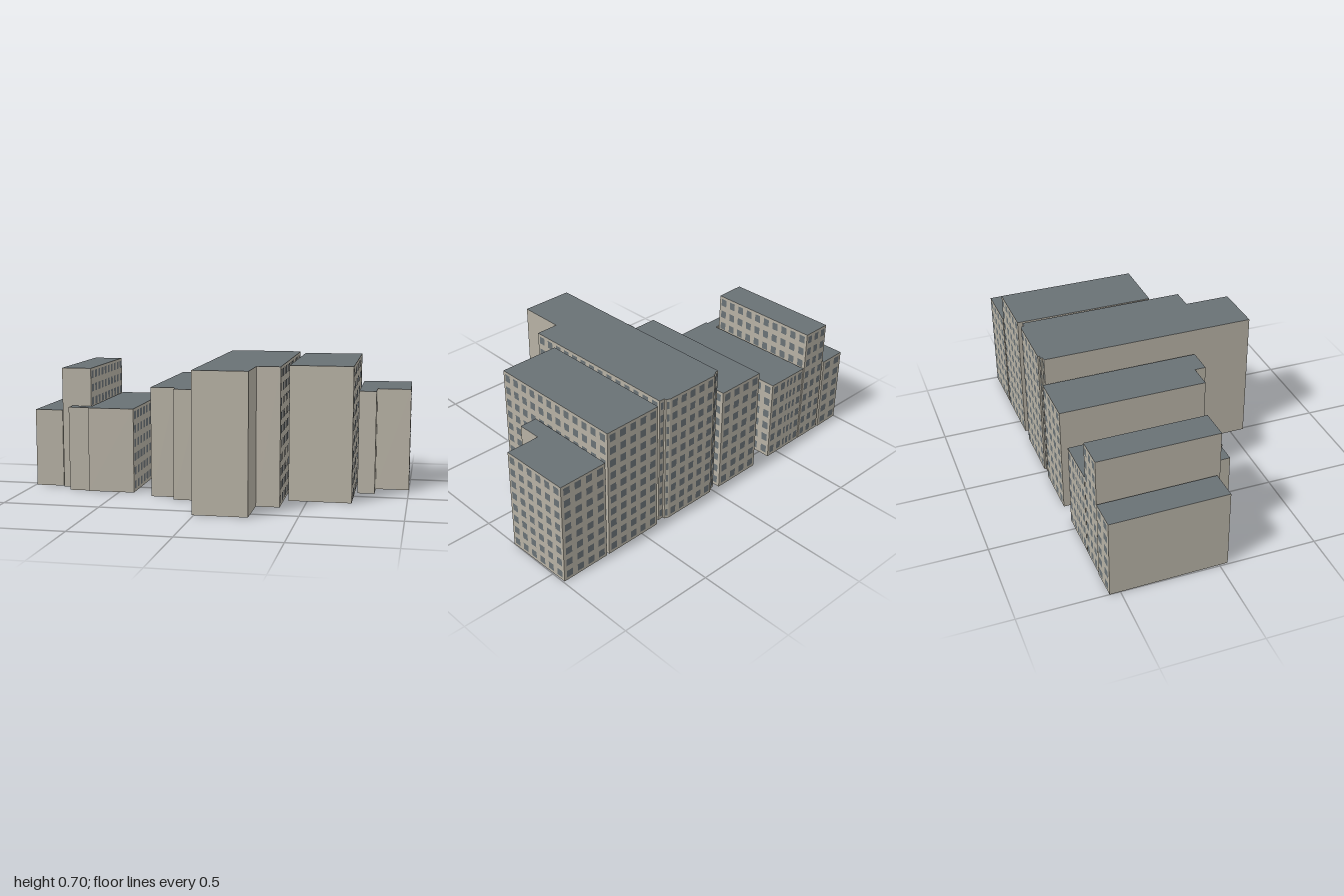
import * as THREE from 'three';
import { mergeGeometries } from 'three/addons/utils/BufferGeometryUtils.js';

const wall = new THREE.MeshStandardMaterial({ color: 0xb6b1a4, side: THREE.DoubleSide });
wall.name = 'tan wall';
const slate = new THREE.MeshStandardMaterial({ color: 0x697175, side: THREE.DoubleSide });
slate.name = 'slate roof and glass';

// Footprints as [x, z] corners, starting at the back left and going round by
// the back right. The first `glazed` edges (back and right walls) get windows.
const BUILDINGS = [
  { name: 'lowEndBlock', height: 0.415, floors: 6, glazed: 2,
    plan: [[-1, -0.553], [-0.85, -0.557], [-0.842, 0.039], [-0.992, 0.043]] },
  { name: 'slimTower', height: 0.645, floors: 9, glazed: 2,
    plan: [[-0.84, -0.554], [-0.683, -0.557], [-0.675, 0.054], [-0.833, 0.058]] },
  { name: 'lowWingedBlock', height: 0.445, floors: 6, glazed: 6,
    plan: [[-0.677, -0.556], [-0.625, -0.557], [-0.595, -0.558], [-0.565, -0.558], [-0.54, -0.559],
      [-0.43, -0.56], [-0.42, 0.138], [-0.665, 0.142], [-0.665, 0.132], [-0.774, 0.134],
      [-0.775, 0.071], [-0.666, 0.069]] },
  { name: 'middleBlock', height: 0.57, floors: 8, glazed: 2,
    plan: [[-0.315, -0.562], [-0.045, -0.566], [-0.035, 0.259], [-0.175, 0.261], [-0.176, 0.202], [-0.308, 0.204]] },
  { name: 'tallBlock', height: 0.701, floors: 10, glazed: 9,
    plan: [[-0.022, -0.546], [0, -0.547], [0, -0.556], [0.02, -0.557], [0.02, -0.566], [0.32, -0.569],
      [0.34, -0.56], [0.34, -0.549], [0.37, -0.549], [0.383, 0.331], [0.263, 0.333], [0.265, 0.574], [-0.01, 0.577]] },
  { name: 'wideBlock', height: 0.693, floors: 10, glazed: 2,
    plan: [[0.398, -0.568], [0.715, -0.573], [0.726, 0.169], [0.405, 0.172]] },
  { name: 'rightEndBlock', height: 0.541, floors: 8, glazed: 2,
    plan: [[0.73, -0.573], [0.993, -0.577], [1, -0.209], [0.824, -0.207], [0.826, -0.083], [0.736, -0.081]] },
];

// Edge i of a footprint, with its length and outward normal
function edgeOf(plan, i) {
  const [ax, az] = plan[i];
  const [bx, bz] = plan[(i + 1) % plan.length];
  const dx = bx - ax, dz = bz - az;
  const length = Math.hypot(dx, dz);
  return { ax, az, dx, dz, length, nx: dz / length, nz: -dx / length };
}

// Upright rectangle on an edge, centred at fraction t and height y
function panel(edge, t, y, width, height, offset) {
  const { ax, az, dx, dz, nx, nz } = edge;
  return new THREE.PlaneGeometry(width, height)
    .rotateY(Math.atan2(nx, nz))
    .translate(ax + dx * t + nx * offset, y, az + dz * t + nz * offset);
}

// Shell of walls, open underneath
function makeWalls({ plan, height }) {
  const sides = plan.map((_, i) => {
    const edge = edgeOf(plan, i);
    return panel(edge, 0.5, height / 2, edge.length, height, 0);
  });
  return new THREE.Mesh(mergeGeometries(sides), wall);
}

// Flat roof
function makeRoof({ plan, height }) {
  const shape = new THREE.Shape(plan.map(([x, z]) => new THREE.Vector2(x, -z)));
  const geo = new THREE.ShapeGeometry(shape).rotateX(-Math.PI / 2).translate(0, height, 0);
  return new THREE.Mesh(geo, slate);
}

// Regular grid of flat panes on each glazed wall
function makeWindows({ plan, height, floors, glazed }) {
  const panes = [];
  const storey = height / floors;
  for (let e = 0; e < glazed; e++) {
    const edge = edgeOf(plan, e);
    if (edge.length < 0.018) continue;
    const columns = Math.max(1, Math.round(edge.length / 0.0615));
    const width = 0.56 * edge.length / columns;
    for (let c = 0; c < columns; c++) {
      for (let f = 0; f < floors; f++) {
        panes.push(panel(edge, (c + 0.5) / columns, storey * (f + 0.52), width, storey * 0.57, 0.0012));
      }
    }
  }
  return new THREE.Mesh(mergeGeometries(panes), slate);
}

export function createModel() {
  const model = new THREE.Group();
  model.name = 'apartmentBlocks';
  const parts = { walls: makeWalls, roof: makeRoof, windows: makeWindows };
  for (const spec of BUILDINGS) {
    const building = new THREE.Group();
    building.name = spec.name;
    for (const [name, make] of Object.entries(parts)) {
      const mesh = make(spec);
      mesh.name = name;
      building.add(mesh);
    }
    model.add(building);
  }
  return model;
}
